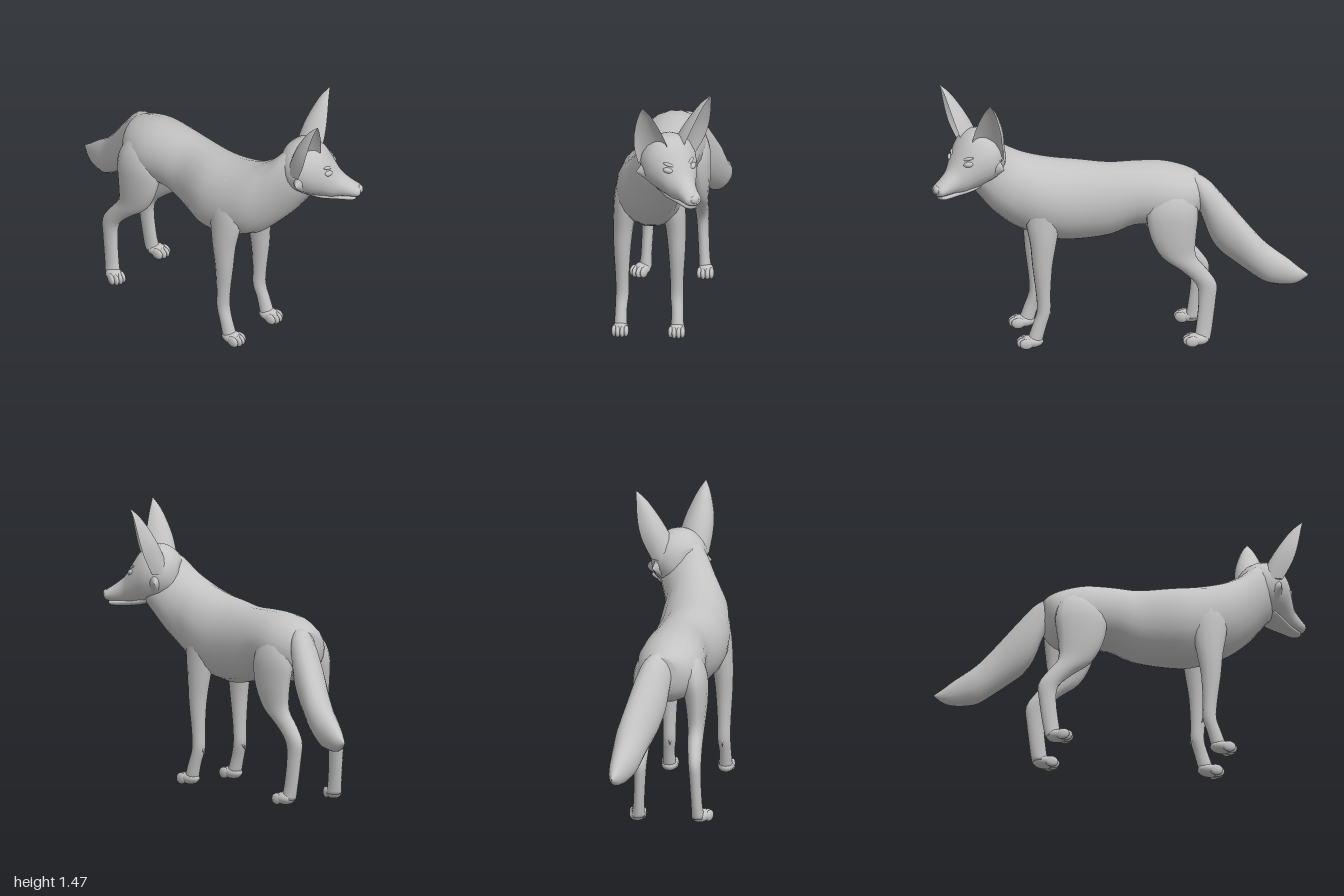
import * as THREE from 'three';
import { toCreasedNormals } from 'three/addons/utils/BufferGeometryUtils.js';

const fur = new THREE.MeshStandardMaterial({ color: 0xc4c4c4 });
fur.name = 'grey fur';

// Smoothly resample a table of rows (each row is a list of numbers)
function refine(rows, steps = 3) {
  const out = [];
  const at = i => rows[Math.min(rows.length - 1, Math.max(0, i))];
  for (let i = 0; i < rows.length - 1; i++) {
    for (let s = 0; s < steps; s++) {
      const t = s / steps;
      out.push(rows[i].map((b, k) => {
        const a = at(i - 1)[k], c = at(i + 1)[k], d = at(i + 2)[k];
        return b + 0.5 * t * (c - a + t * (2 * a - 5 * b + 4 * c - d + t * (3 * (b - c) + d - a)));
      }));
    }
  }
  out.push(rows[rows.length - 1]);
  return out;
}

// Skin a list of closed rings and cap both ends; side -1 mirrors across x
function skin(rings, side = 1) {
  const n = rings[0].length, pos = [], idx = [];
  const tri = (a, b, c) => (side > 0 ? idx.push(a, b, c) : idx.push(a, c, b));
  rings.forEach(r => r.forEach(p => pos.push(p[0] * side, p[1], p[2])));
  for (let i = 0; i < rings.length - 1; i++) {
    for (let j = 0; j < n; j++) {
      const a = i * n + j, b = i * n + (j + 1) % n;
      tri(a, b, a + n);
      tri(b, b + n, a + n);
    }
  }
  [0, rings.length - 1].forEach(e => {
    const mid = [0, 1, 2].map(k => rings[e].reduce((s, p) => s + p[k], 0) / n);
    const m = pos.length / 3;
    pos.push(mid[0] * side, mid[1], mid[2]);
    for (let j = 0; j < n; j++) {
      const a = e * n + j, b = e * n + (j + 1) % n;
      if (e === 0) tri(m, b, a); else tri(m, a, b);
    }
  });
  const g = new THREE.BufferGeometry();
  g.setAttribute('position', new THREE.Float32BufferAttribute(pos, 3));
  g.setIndex(idx);
  g.computeVertexNormals();
  return g;
}

const circle = (n, f) => Array.from({ length: n }, (_, i) => {
  const a = (i / n) * Math.PI * 2;
  return f(Math.cos(a), Math.sin(a));
});

// Upright ellipses along z: rows are [z, centre x, half width, top, bottom], z rising
const loftZ = rows => skin(refine(rows).map(([z, x, w, t, b]) =>
  circle(18, (c, s) => [x + w * c, (t + b) / 2 + ((t - b) / 2) * s, z])));

// Level ellipses down a leg: rows are [y, x, z, radius x, radius z], y falling
const loftY = (rows, side) => skin(refine(rows).map(([y, x, z, rx, rz]) =>
  circle(14, (c, s) => [x + rx * c, y, z + rz * s])), side);

function add(parent, name, geometry, x = 0, y = 0, z = 0) {
  const m = new THREE.Mesh(geometry, fur);
  m.name = name;
  m.position.set(x, y, z);
  parent.add(m);
  return m;
}

function blob(parent, name, p, r) {
  const m = add(parent, name, new THREE.SphereGeometry(1, 14, 10), ...p);
  m.scale.set(...r);
  return m;
}

// Paw with four toes; z is the ankle, turn swings the toes sideways
function paw(parent, x, z, turn) {
  const g = new THREE.Group();
  g.name = 'paw';
  g.position.set(x, 0, z);
  g.rotation.y = turn;
  blob(g, 'pad', [0, 0.034, 0.018], [0.044, 0.034, 0.064]);
  [-0.032, -0.0115, 0.0115, 0.032].forEach((tx, i) => {
    const inner = i === 1 || i === 2;
    blob(g, 'toe', [tx, 0.03, inner ? 0.062 : 0.05], [0.0145, 0.03, 0.037]);
  });
  parent.add(g);
}

function leg(name, rows, side, midX, footX, footZ, turn = 0) {
  const g = new THREE.Group();
  g.name = name;
  g.position.x = midX;
  add(g, 'limb', loftY(rows, side));
  paw(g, footX * side, footZ, turn);
  return g;
}

const FRONT = [
  [0.97, 0.085, 0.38, 0.03, 0.05], [0.88, 0.104, 0.385, 0.055, 0.085], [0.8, 0.117, 0.385, 0.066, 0.1],
  [0.7, 0.128, 0.39, 0.063, 0.092],
  [0.58, 0.14, 0.39, 0.054, 0.07], [0.45, 0.145, 0.395, 0.045, 0.053], [0.3, 0.145, 0.39, 0.036, 0.039],
  [0.2, 0.145, 0.388, 0.035, 0.037], [0.12, 0.15, 0.412, 0.032, 0.038], [0.03, 0.15, 0.44, 0.036, 0.042],
];
const HIND = [
  [0.9, 0.08, -0.29, 0.05, 0.08], [0.85, 0.103, -0.29, 0.065, 0.11], [0.79, 0.12, -0.29, 0.071, 0.133],
  [0.72, 0.13, -0.29, 0.07, 0.14],
  [0.61, 0.138, -0.295, 0.058, 0.122], [0.5, 0.138, -0.325, 0.046, 0.092], [0.42, 0.138, -0.405, 0.04, 0.07],
  [0.34, 0.142, -0.47, 0.035, 0.056], [0.25, 0.145, -0.475, 0.031, 0.046], [0.1, 0.152, -0.458, 0.03, 0.044],
  [0.03, 0.158, -0.445, 0.036, 0.044],
];

// Cupped ear: rows are [y, x, z, half width], y falling
function ear(side) {
  const rows = refine([
    [1.465, 0.208, 0.1, 0.002], [1.42, 0.192, 0.089, 0.029], [1.36, 0.176, 0.08, 0.054],
    [1.28, 0.154, 0.068, 0.078], [1.2, 0.128, 0.052, 0.088], [1.11, 0.096, 0.02, 0.082],
  ]);
  const cb = Math.cos(0.4), sb = Math.sin(0.4);
  const rings = rows.map(([y, x, z, w]) => circle(18, (c, s) => {
    const back = s < 0 ? -s * w * 1.25 : s * w * 0.75;
    return [x + w * c * cb - back * sb, y, z - w * c * sb - back * cb];
  }));
  return toCreasedNormals(skin(rings, side), 0.9);
}

function createHead() {
  const head = new THREE.Group();
  head.name = 'head';
  head.position.set(0.041, 0, 0.731);
  head.rotation.y = 0.56;
  add(head, 'skull', loftZ([
    [-0.12, 0, 0.06, 1.17, 1.03], [-0.09, 0, 0.115, 1.215, 0.985], [-0.03, 0, 0.15, 1.25, 0.955],
    [0.04, 0, 0.148, 1.25, 0.94], [0.1, 0, 0.12, 1.21, 0.932], [0.15, 0, 0.089, 1.135, 0.925],
    [0.19, 0, 0.065, 1.072, 0.932], [0.24, 0, 0.053, 1.03, 0.934], [0.285, 0, 0.046, 1.0, 0.938],
    [0.3, 0, 0.03, 0.988, 0.95],
  ]));
  add(head, 'lowerJaw', loftZ([
    [0.02, 0, 0.08, 0.99, 0.945], [0.1, 0, 0.068, 0.97, 0.922], [0.18, 0, 0.046, 0.955, 0.914],
    [0.25, 0, 0.036, 0.945, 0.912], [0.275, 0, 0.022, 0.94, 0.918],
  ]));
  blob(head, 'nose', [0, 0.975, 0.292], [0.027, 0.022, 0.019]);
  [1, -1].forEach(side => {
    add(head, 'ear', ear(side));
    const eye = blob(head, 'eye', [side * 0.075, 1.103, 0.138], [0.027, 0.015, 0.014]);
    eye.rotation.set(0, side * 0.6, side * 0.2);
    const brow = blob(head, 'brow', [side * 0.064, 1.13, 0.129], [0.032, 0.009, 0.012]);
    brow.rotation.set(0, side * 0.55, side * 0.3);
    // cheek tuft pointing outwards and back
    const tuft = add(head, 'cheekTuft', new THREE.ConeGeometry(0.1, 0.09, 12), side * 0.135, 1.065, -0.015);
    tuft.rotation.set(0, side * 0.25, -side * (Math.PI / 2 + 0.1));
    tuft.scale.z = 0.6;
  });
  return head;
}

export function createModel() {
  const fox = new THREE.Group();
  fox.name = 'fox';

  // Trunk and neck
  add(fox, 'body', loftZ([
    [-0.46, 0.035, 0.075, 0.91, 0.75], [-0.43, 0.02, 0.125, 0.935, 0.69], [-0.36, 0.01, 0.162, 0.965, 0.64],
    [-0.25, 0, 0.178, 0.99, 0.64], [-0.1, -0.01, 0.165, 0.993, 0.645], [0.03, -0.02, 0.163, 0.99, 0.59],
    [0.2, -0.06, 0.188, 1.0, 0.56], [0.33, -0.07, 0.192, 1.015, 0.568], [0.45, -0.07, 0.182, 1.045, 0.615],
    [0.53, -0.064, 0.166, 1.08, 0.655], [0.6, -0.04, 0.149, 1.13, 0.715], [0.67, -0.005, 0.138, 1.205, 0.79],
    [0.74, 0.03, 0.125, 1.235, 0.885], [0.8, 0.055, 0.075, 1.19, 0.96],
  ]));

  // Bushy tail, swung to one side
  add(fox, 'tail', loftZ([
    [-1, 0.25, 0.003, 0.405, 0.395], [-0.95, 0.238, 0.03, 0.443, 0.358], [-0.9, 0.225, 0.05, 0.485, 0.343],
    [-0.83, 0.205, 0.068, 0.535, 0.343], [-0.77, 0.19, 0.078, 0.585, 0.357], [-0.69, 0.165, 0.088, 0.675, 0.41],
    [-0.61, 0.13, 0.094, 0.77, 0.465], [-0.55, 0.105, 0.096, 0.84, 0.51], [-0.5, 0.085, 0.092, 0.895, 0.58],
    [-0.44, 0.06, 0.08, 0.93, 0.74], [-0.38, 0.04, 0.04, 0.93, 0.84],
  ]));

  // Legs; the right hind paw is turned outwards
  [1, -1].forEach(side => {
    const label = side > 0 ? 'Left' : 'Right';
    const fore = leg('front' + label + 'Leg', FRONT, side, -0.08, 0.15, 0.435);
    const spur = add(fore, 'dewclaw', new THREE.ConeGeometry(0.012, 0.04, 6), side * 0.14, 0.185, 0.352);
    spur.rotation.x = -2.6;
    fox.add(fore);
    fox.add(side > 0
      ? leg('hindLeftLeg', HIND, 1, 0.002, 0.162, -0.44)
      : leg('hindRightLeg', HIND, -1, -0.002, 0.165, -0.44, -0.45));
  });

  fox.add(createHead());
  return fox;
}
